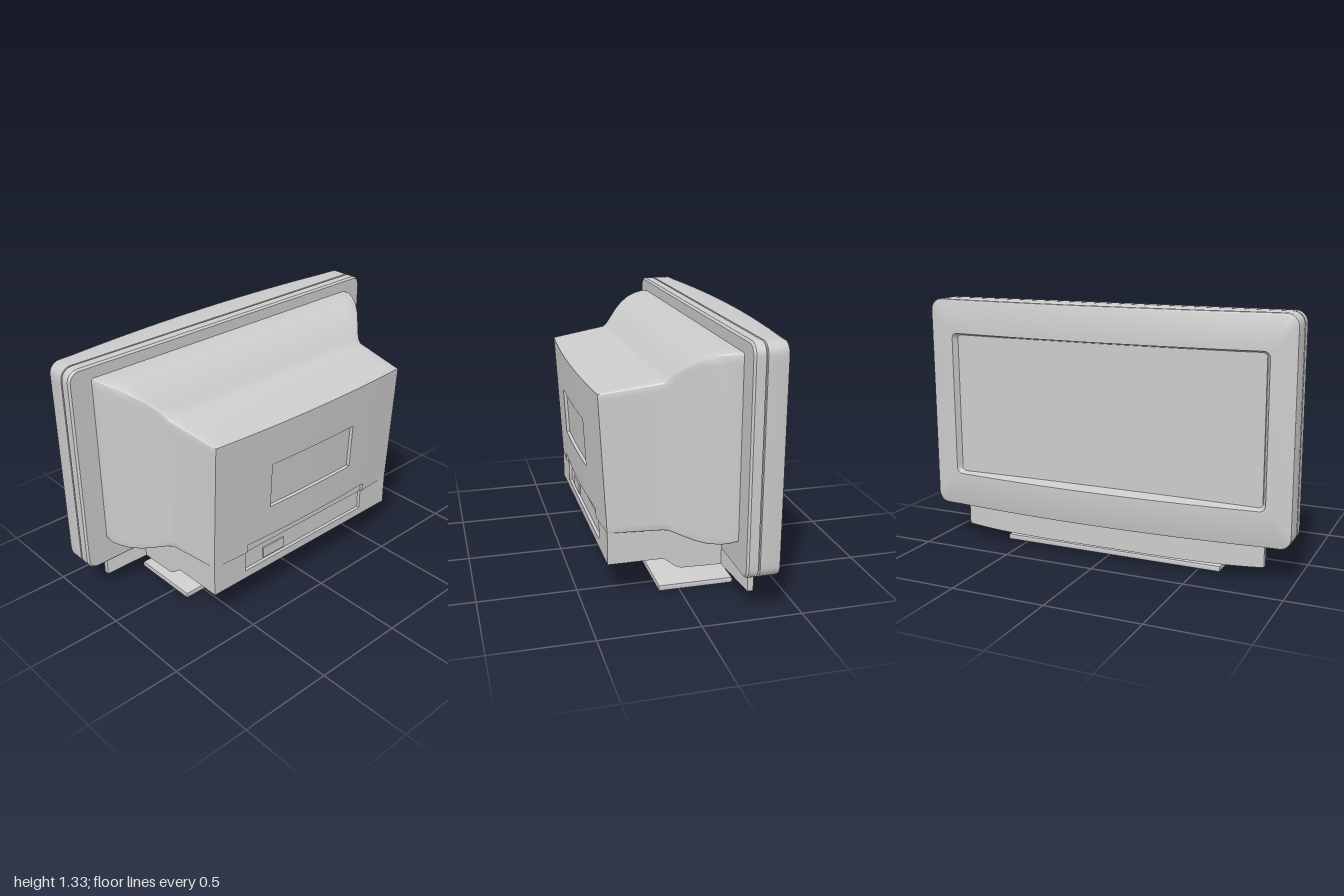
import * as THREE from 'three';
import { toCreasedNormals } from 'three/addons/utils/BufferGeometryUtils.js';
import { ConvexGeometry } from 'three/addons/geometries/ConvexGeometry.js';

const material = new THREE.MeshStandardMaterial({ color: 0xcccccc });

function add(group, name, geometry, crease = 0.6) {
  const mesh = new THREE.Mesh(crease ? toCreasedNormals(geometry, crease) : geometry, material);
  mesh.name = name;
  group.add(mesh);
  return mesh;
}

function buildGeometry(points, index) {
  const geo = new THREE.BufferGeometry();
  geo.setAttribute('position', new THREE.Float32BufferAttribute(points.flat(), 3));
  geo.setIndex(index);
  return geo;
}

// Rounded rectangle in the z-y plane; x is a number or a rule x(z, y)
function ring(halfWidth, y0, y1, r, x) {
  const corners = [
    [halfWidth - r, y1 - r], [-halfWidth + r, y1 - r],
    [-halfWidth + r, y0 + r], [halfWidth - r, y0 + r],
  ];
  const flat = [];
  corners.forEach(([cz, cy], k) => {
    for (let i = 0; i <= 6; i++) {
      const a = (k + i / 6) * Math.PI / 2;
      flat.push([cz + r * Math.cos(a), cy + r * Math.sin(a)]);
    }
    // subdivide the straight run to the next corner
    const [z0, ya] = flat[flat.length - 1];
    const next = corners[(k + 1) % 4];
    const a = (k + 1) * Math.PI / 2;
    const z1 = next[0] + r * Math.cos(a), yb = next[1] + r * Math.sin(a);
    for (let i = 1; i < 24; i++) flat.push([z0 + (z1 - z0) * i / 24, ya + (yb - ya) * i / 24]);
  });
  return flat.map(([z, y]) => [typeof x === 'number' ? x : x(z, y), y, z]);
}

// Skin over successive rings, with optional flat caps
function loft(rings, capStart, capEnd) {
  const n = rings[0].length, points = rings.flat(), index = [];
  for (let k = 0; k < rings.length - 1; k++) {
    for (let i = 0; i < n; i++) {
      const a = k * n + i, b = k * n + (i + 1) % n;
      index.push(a, a + n, b, b, a + n, b + n);
    }
  }
  const cap = (k, flip) => {
    const c = points.length;
    points.push([0, 1, 2].map(j => rings[k].reduce((s, p) => s + p[j], 0) / n));
    for (let i = 0; i < n; i++) {
      const a = k * n + i, b = k * n + (i + 1) % n;
      index.push(c, ...(flip ? [a, b] : [b, a]));
    }
  };
  if (capStart) cap(0, true);
  if (capEnd) cap(rings.length - 1, false);
  return buildGeometry(points, index);
}

// Bowed front of the bezel, and bowed leaning back of the cabinet
const frontX = z => -0.43 + 0.05 * Math.min(1, (z / 0.9) ** 2);
const backX = (z, y) => y < 0.3555 ? 0.37
  : 0.37 + 0.052 * (y - 0.355) + 0.025 * (1 - (z / 0.64) ** 2);

function rearSurface(z, y) {
  const az = Math.abs(z);
  if (az < 0.4315 && y > 0.2365 && y < 0.4015) return y < 0.3495 ? 0.355 : 0.37;
  const inWindow = az < 0.2885 && y > 0.5815 && y < 0.8285;
  return backX(z, y) - (inWindow ? 0.017 : 0);
}

// Rear panel as a height field: paired grid lines make the recess walls
function rearPanel() {
  const ys = [0.19, 0.19, 0.235, 0.238, 0.348, 0.351, 0.354, 0.357, 0.4, 0.403,
    0.58, 0.583, 0.827, 0.83, 1.05, 1.05];
  const zs = [-0.64, 0.64, -0.433, -0.43, -0.29, -0.287, 0.287, 0.29, 0.43, 0.433];
  for (let i = 0; i <= 16; i++) zs.push(-0.64 + 0.08 * i);
  zs.sort((a, b) => a - b);
  const points = [], index = [], m = ys.length;
  zs.forEach((z, i) => ys.forEach((y, j) => {
    const border = i === 0 || j === 0 || i === zs.length - 1 || j === m - 1;
    points.push([rearSurface(z, y) - (border ? 0.03 : 0), y, z]);
    if (i < zs.length - 1 && j < m - 1) {
      const a = i * m + j;
      index.push(a, a + 1, a + m, a + 1, a + m + 1, a + m);
    }
  }));
  return buildGeometry(points, index);
}

export function createModel() {
  const tv = new THREE.Group();
  tv.name = 'television';

  // Front bezel with its screen opening
  add(tv, 'bezel', loft([
    ring(0.84, 0.4, 1.13, 0.03, -0.33),
    ring(0.87, 0.38, 1.15, 0.03, frontX),
    ring(0.988, 0.212, 1.318, 0.05, frontX),
    ring(0.997, 0.203, 1.327, 0.058, z => frontX(z) + 0.004),
    ring(1, 0.2, 1.33, 0.06, z => frontX(z) + 0.012),
    ring(1, 0.2, 1.33, 0.06, -0.277),
    ring(0.985, 0.215, 1.315, 0.05, -0.277),
  ], false, true));
  const screen = add(tv, 'screen', new THREE.BoxGeometry(0.03, 0.75, 1.7), 0);
  screen.position.set(-0.343, 0.765, 0);

  // Rear half of the bezel, separated by a groove
  add(tv, 'rearFrame', loft([
    ring(0.985, 0.215, 1.315, 0.05, -0.28),
    ring(0.985, 0.215, 1.315, 0.05, -0.268),
    ring(1, 0.2, 1.33, 0.06, -0.268),
    ring(1, 0.2, 1.33, 0.06, -0.222),
    ring(0.99, 0.21, 1.32, 0.05, -0.212),
  ], true, true));

  // Humped tube housing: x, half width, bottom, top
  const stations = [
    [-0.22, 0.876, 0.35, 1.262], [-0.17, 0.873, 0.34, 1.263], [-0.13, 0.855, 0.333, 1.257],
    [-0.08, 0.826, 0.329, 1.243], [-0.03, 0.788, 0.333, 1.217], [0.02, 0.74, 0.343, 1.18],
    [0.06, 0.7, 0.352, 1.14], [0.085, 0.682, 0.355, 1.113], [0.105, 0.675, 0.355, 1.096],
  ];
  add(tv, 'tubeHousing', loft([
    ...stations.map(([x, w, y0, y1]) => ring(w, y0, y1, 0.012, x)),
    ring(0.64, 0.355, 1.05, 0.005, (z, y) => backX(z, Math.max(y, 0.356))),
  ]));
  add(tv, 'rearPanel', rearPanel(), 0.4);

  // Small connector plate in the rear tray
  const plate = add(tv, 'connectorPlate', new THREE.BoxGeometry(0.012, 0.06, 0.145), 0);
  plate.position.set(0.357, 0.28, 0.228);

  // Lower cabinet with stepped underside
  const side = new THREE.Shape([
    [-0.215, 0.36], [-0.215, 0.125], [0, 0.13], [0.03, 0.143], [0.085, 0.188],
    [0.1, 0.19], [0.35, 0.19], [0.35, 0.36],
  ].map(p => new THREE.Vector2(...p)));
  const base = new THREE.ExtrudeGeometry(side, { depth: 1.28, bevelEnabled: false });
  add(tv, 'lowerCabinet', base.translate(0, 0, -0.64), 0.5);

  // Bowed speaker bar under the bezel
  const plan = new THREE.Shape();
  plan.moveTo(-0.275, -0.85);
  for (let i = 0; i <= 24; i++) {
    const t = -1 + i / 12;
    plan.lineTo(-0.365 + 0.06 * t ** 4, 0.85 * t);
  }
  plan.lineTo(-0.275, 0.85);
  const bar = new THREE.ExtrudeGeometry(plan, { depth: 0.14, bevelEnabled: false });
  add(tv, 'speakerBar', bar.rotateX(Math.PI / 2).translate(0, 0.21, 0));
  const brace = [];
  for (const s of [-1, 1]) {
    brace.push([-0.275, 0.07, 0.85 * s], [-0.275, 0.205, 0.85 * s],
      [-0.21, 0.125, 0.64 * s], [-0.21, 0.205, 0.64 * s]);
  }
  add(tv, 'speakerBrace', new ConvexGeometry(brace.map(p => new THREE.Vector3(...p))), 0);

  // Pedestal: waisted oval neck on a flat plate
  const neckProfile = [[0.086, 0.025], [0.08, 0.045], [0.068, 0.075], [0.066, 0.09],
    [0.074, 0.11], [0.09, 0.14]].map(p => new THREE.Vector2(...p));
  const neck = new THREE.LatheGeometry(neckProfile, 48).scale(1, 1, 2.85);
  add(tv, 'standNeck', neck, 0).position.x = -0.085;
  const foot = new THREE.Shape([[-0.275, -0.61], [0.1, -0.61], [0.1, 0.61], [-0.275, 0.61]]
    .map(p => new THREE.Vector2(...p)));
  const footGeo = new THREE.ExtrudeGeometry(foot, {
    depth: 0.02, bevelThickness: 0.005, bevelSize: 0.005, bevelSegments: 2,
  });
  add(tv, 'standFoot', footGeo.rotateX(Math.PI / 2).translate(0, 0.025, 0));

  return tv;
}
